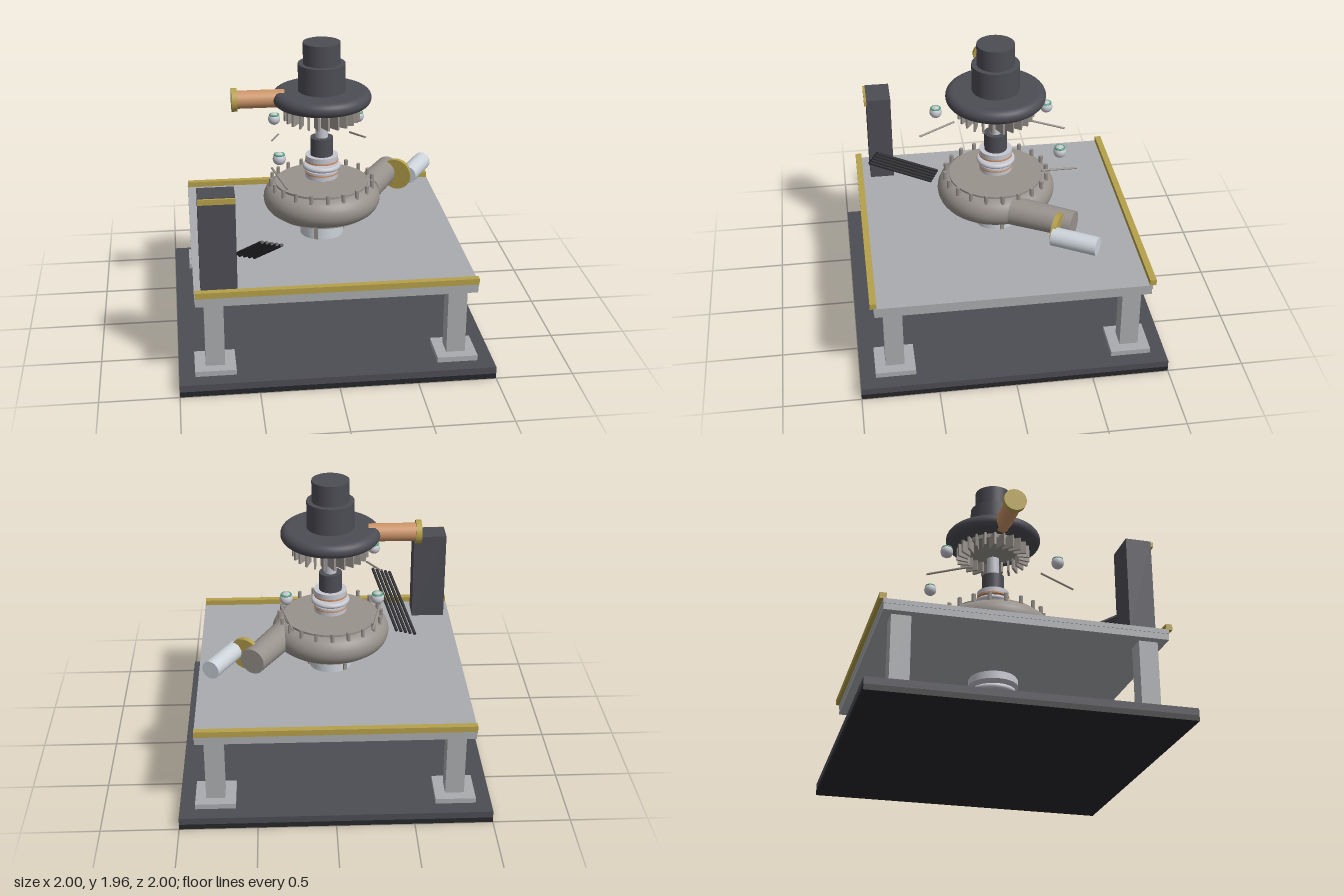
import * as THREE from 'three';

const mat = (color) => new THREE.MeshStandardMaterial({ color });
const M = {
  dark: mat(0x4c4c54), black: mat(0x26272a), grey: mat(0xa9abae), gold: mat(0xb5a04a),
  copper: mat(0xcb9468), cast: mat(0x98928c), pale: mat(0xccd3da), ring: mat(0xc6c6d0),
  green: mat(0x55a880), cable: mat(0x2c2c30),
};
const V = (x, y, z) => new THREE.Vector3(x, y, z);

export function createModel() {
  const model = new THREE.Group();

  const add = (name, geo, material, x = 0, y = 0, z = 0) => {
    const mesh = new THREE.Mesh(geo, material);
    mesh.name = name;
    mesh.position.set(x, y, z);
    model.add(mesh);
    return mesh;
  };
  // Box given by its minimum and maximum on each axis
  const box = (name, m, x0, x1, y0, y1, z0, z1) =>
    add(name, new THREE.BoxGeometry(x1 - x0, y1 - y0, z1 - z0), m, (x0 + x1) / 2, (y0 + y1) / 2, (z0 + z1) / 2);
  // Upright cylinder on the main axis
  const disc = (name, m, r, y0, y1, seg = 48) =>
    add(name, new THREE.CylinderGeometry(r, r, y1 - y0, seg), m, 0, (y0 + y1) / 2, 0);
  // Round bar between two points
  const bar = (name, m, a, b, rA, rB = rA, seg = 32) => {
    const d = b.clone().sub(a);
    const mesh = add(name, new THREE.CylinderGeometry(rB, rA, d.length(), seg), m);
    mesh.position.copy(a).add(b).multiplyScalar(0.5);
    mesh.quaternion.setFromUnitVectors(V(0, 1, 0), d.normalize());
    return mesh;
  };
  // Disc with a rounded rim
  const roundDisc = (name, m, R, h, y) => {
    const pts = [new THREE.Vector2(0, -h / 2)];
    for (let i = 0; i <= 12; i++) {
      const a = -Math.PI / 2 + (Math.PI * i) / 12;
      pts.push(new THREE.Vector2(R - h / 2 + (Math.cos(a) * h) / 2, (Math.sin(a) * h) / 2));
    }
    pts.push(new THREE.Vector2(0, h / 2));
    return add(name, new THREE.LatheGeometry(pts, 64), m, 0, y, 0);
  };

  // Floor plate
  box('floorPlateUnderside', M.black, -1, 1, 0, 0.035, -1, 1);
  box('floorPlate', M.dark, -1, 1, 0.035, 0.08, -1, 1);

  // Legs and foot pads
  for (const sx of [-1, 1]) for (const sz of [-1, 1]) {
    const x = sx * 0.77, z = sz * 0.77;
    box('footPad', M.grey, x - 0.13, x + 0.13, 0.08, 0.115, z - 0.13, z + 0.13);
    box('leg', M.grey, x - 0.061, x + 0.061, 0.115, 0.56, z - 0.061, z + 0.061);
  }

  // Table with gold edge rails
  box('tableFrame', M.grey, -0.885, 0.885, 0.56, 0.6, -0.885, 0.885);
  box('tableTop', M.grey, -0.888, 0.888, 0.6, 0.63, -0.888, 0.888);
  for (const s of [-1, 1]) box('edgeRail', M.gold, -0.885, 0.885, 0.628, 0.667, s * 0.89 - 0.021, s * 0.89 + 0.021);

  // Parts hanging under the table
  disc('lowerCollar', M.ring, 0.155, 0.54, 0.56);
  disc('lowerFlange', M.ring, 0.165, 0.505, 0.545);
  for (const y of [0.463, 0.387, 0.311]) roundDisc('lowerRing', M.ring, 0.153, 0.038, y);
  disc('lowerCap', M.dark, 0.168, 0.196, 0.27);

  // Pedestal with three fins
  disc('pedestal', M.pale, 0.145, 0.6, 0.79);
  for (let i = 0; i < 3; i++) {
    const a = THREE.MathUtils.degToRad(-21 + 120 * i);
    const fin = add('pedestalFin', new THREE.BoxGeometry(0.026, 0.13, 0.025), M.cast, Math.sin(a) * 0.143, 0.7, Math.cos(a) * 0.143);
    fin.rotation.y = a;
  }

  // Pump casing with bolt circle
  disc('casingFlange', M.cast, 0.307, 0.782, 0.82, 64);
  roundDisc('casing', M.cast, 0.39, 0.2, 0.892);
  disc('casingCover', M.cast, 0.31, 0.97, 1.003, 64);
  for (let i = 0; i < 20; i++) {
    const a = (i * Math.PI) / 10;
    add('casingBolt', new THREE.CylinderGeometry(0.014, 0.014, 0.06, 6), M.cast, Math.sin(a) * 0.34, 1, Math.cos(a) * 0.34);
  }

  // Outlet, its flange and the detached pipe
  const dir = V(0.5, 0, -0.866);
  const along = (c, t) => c.clone().addScaledVector(dir, t);
  const outletEnd = V(0.52, 0.892, -0.436), flange = V(0.563, 0.892, -0.323), pipe = V(0.708, 0.895, -0.41);
  bar('outlet', M.cast, along(outletEnd, -0.42), outletEnd, 0.095, 0.086);
  bar('outletFlange', M.gold, along(flange, -0.016), along(flange, 0.016), 0.107);
  bar('dischargePipe', M.pale, along(pipe, -0.15), along(pipe, 0.15), 0.061);

  // Seal stack and shaft
  disc('shaft', M.ring, 0.041, 0.99, 1.45);
  disc('lowerSeal', M.ring, 0.108, 1.035, 1.062);
  disc('lowerSealBand', M.copper, 0.11, 1.062, 1.072);
  disc('lowerSealTop', M.ring, 0.108, 1.072, 1.085);
  roundDisc('middleSeal', M.ring, 0.127, 0.034, 1.112);
  disc('upperSealBand', M.copper, 0.11, 1.145, 1.157);
  disc('upperSeal', M.ring, 0.108, 1.157, 1.19);
  disc('coupling', M.dark, 0.075, 1.19, 1.312);

  // Impeller with angled blades
  disc('impellerDisc', M.cast, 0.2, 1.515, 1.56);
  for (let i = 0; i < 24; i++) {
    const a = (i * Math.PI) / 12;
    const blade = add('impellerBlade', new THREE.BoxGeometry(0.014, 0.09, 0.085), M.cast, Math.sin(a) * 0.21, 1.483, Math.cos(a) * 0.21);
    blade.rotation.y = a + 0.45;
  }

  // Motor
  roundDisc('motorFlange', M.dark, 0.325, 0.095, 1.59);
  disc('motorBody', M.dark, 0.155, 1.62, 1.82);
  disc('motorCap', M.dark, 0.122, 1.82, 1.96);
  bar('inletPipe', M.copper, V(-0.56, 1.59, 0), V(-0.245, 1.59, 0), 0.059);
  bar('inletFlange', M.gold, V(-0.59, 1.59, 0), V(-0.553, 1.59, 0), 0.077);

  // Sensor balls with a green collar, each above a sloping probe
  const sensors = [
    [V(-0.283, 1.312, -0.385), V(-0.31, 1.2, -0.26), V(-0.246, 1.15, -0.51)],
    [V(0.294, 1.312, -0.374), V(0.33, 1.2, -0.25), V(0.256, 1.15, -0.497)],
    [V(-0.312, 1.312, 0.364), V(-0.35, 1.2, 0.237), V(-0.273, 1.15, 0.48)],
  ];
  for (const [p, a, b] of sensors) {
    add('sensorBall', new THREE.SphereGeometry(0.042, 24, 16), M.ring, p.x, p.y, p.z);
    const collar = add('sensorCollar', new THREE.TorusGeometry(0.029, 0.007, 8, 24), M.green, p.x, p.y + 0.028, p.z);
    collar.rotation.x = Math.PI / 2;
    bar('probe', M.cast, a, b, 0.007, 0.007, 10);
  }

  // Control cabinet and cable bundle
  box('cabinet', M.dark, -0.846, -0.617, 0.63, 1.255, 0.65, 0.816);
  box('cabinetStrip', M.gold, -0.846, -0.617, 1.215, 1.25, 0.816, 0.832);
  for (let i = 0; i < 5; i++) {
    bar('cable', M.cable, V(-0.61 + 0.031 * i, 0.645, 0.34 + 0.014 * i), V(-0.457 + 0.029 * i, 0.928, 0.772 + 0.014 * i), 0.011, 0.011, 10);
  }

  return model;
}
